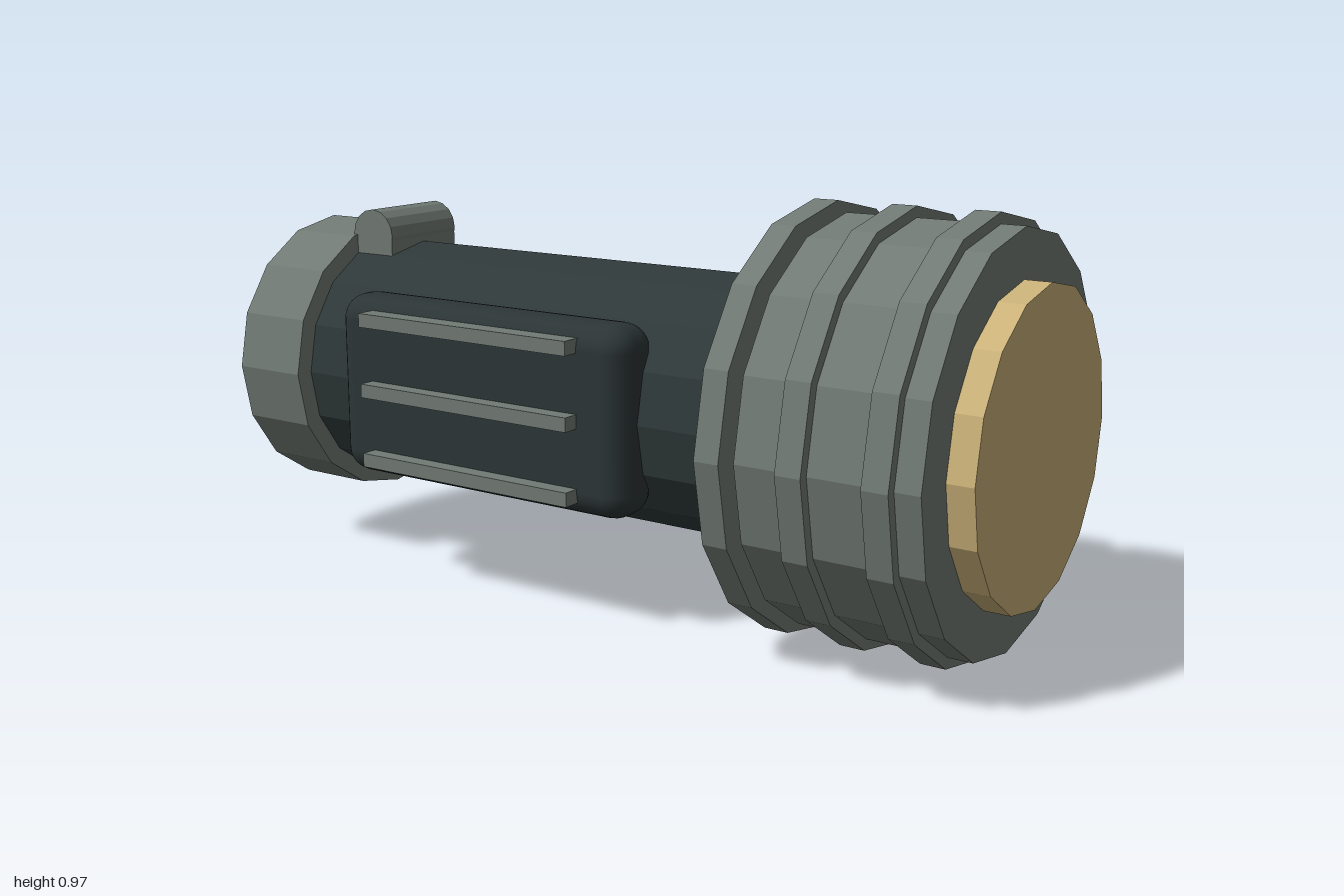
import * as THREE from 'three';
import { RoundedBoxGeometry } from 'three/addons/geometries/RoundedBoxGeometry.js';

const AXIS_Y = 0.487; // height of the torch's long axis

function material(name, color, flat = true) {
  const m = new THREE.MeshStandardMaterial({ color, flatShading: flat });
  m.name = name;
  return m;
}

export function createModel() {
  const group = new THREE.Group();
  const metal = material('grey metal', 0x717a74);
  const dark = material('dark casing', 0x2f393a);
  const rubber = material('dark rubber', 0x2c3536, false);
  const amber = material('amber lens', 0xcbb279);
  const red = material('red switch', 0xb8432d, false);

  const add = (name, geometry, mat, x, y, z) => {
    const mesh = new THREE.Mesh(geometry, mat);
    mesh.name = name;
    mesh.position.set(x, y, z);
    group.add(mesh);
    return mesh;
  };

  // Sixteen-sided drum lying along x, from x0 to x1
  const drum = (name, radius, x0, x1, mat) => {
    const geometry = new THREE.CylinderGeometry(radius, radius, x1 - x0, 16);
    geometry.rotateZ(-Math.PI / 2);
    return add(name, geometry, mat, (x0 + x1) / 2, AXIS_Y, 0);
  };

  // Barrel, tail cap, head and lens
  drum('barrel', 0.305, -0.82, 0.55, dark);
  drum('tailCap', 0.35, -1, -0.8, metal);
  drum('head', 0.46, 0.53, 0.94, metal);
  drum('lens', 0.35, 0.92, 1, amber);

  // Raised rings around the head
  [0.48, 0.667, 0.855].forEach((x, i) => drum('headRing' + (i + 1), 0.485, x - 0.029, x + 0.029, metal));

  // Side grip with three ribs
  add('grip', new RoundedBoxGeometry(0.845, 0.44, 0.145, 3, 0.06), rubber, -0.232, AXIS_Y, 0.288);
  [0.66, 0.49, 0.32].forEach((y, i) =>
    add('gripRib' + (i + 1), new THREE.BoxGeometry(0.605, 0.033, 0.08), metal, -0.237, y, 0.36));

  // Lug on top: rounded bar on a short block
  const bar = new THREE.CylinderGeometry(0.065, 0.065, 0.24, 16);
  bar.rotateX(Math.PI / 2);
  add('lugBar', bar, metal, -0.747, 0.815, 0);
  add('lugBlock', new THREE.BoxGeometry(0.126, 0.08, 0.24), metal, -0.747, 0.78, 0);

  // Tilted switch on the back
  const rocker = add('switch', new RoundedBoxGeometry(0.3, 0.22, 0.1, 3, 0.035), red, -0.185, AXIS_Y, -0.362);
  rocker.rotation.y = -0.22;

  return group;
}
